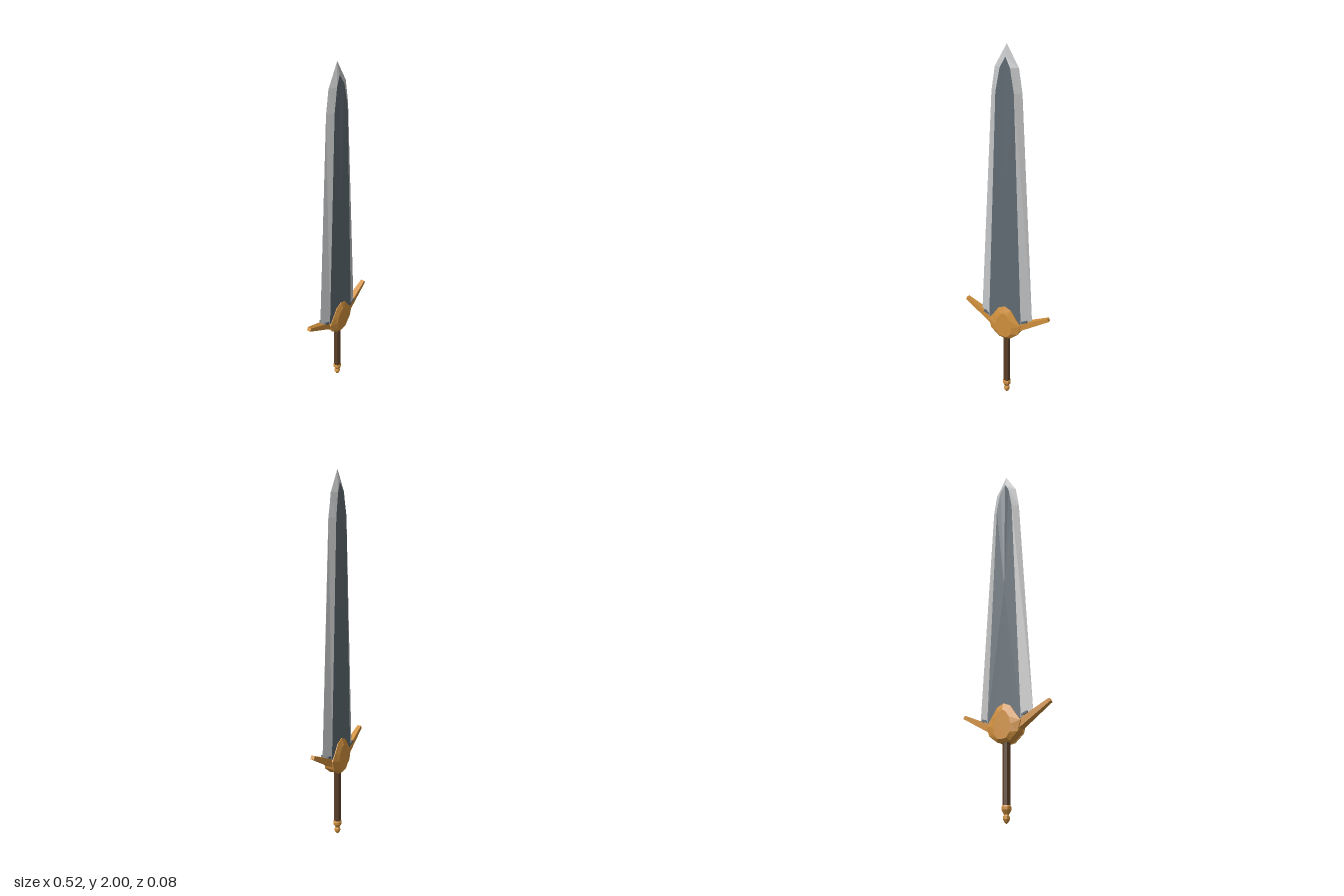
import * as THREE from 'three';

const mat = (name, color) => {
  const m = new THREE.MeshStandardMaterial({ color });
  m.name = name;
  return m;
};

// Right half of an outline (bottom to top, [x, y, z]) mirrored into a closed counter-clockwise loop
function mirrorLoop(half) {
  const left = half.filter(p => p[0] > 0).map(([x, y, z]) => [-x, y, z]).reverse();
  return [...half, ...left];
}
const atZ = (loop, k) => loop.map(([x, y, z]) => [x, y, z * k]);
const setZ = (loop, z) => loop.map(([x, y]) => [x, y, z]);

function faceted(tris) {
  const g = new THREE.BufferGeometry();
  g.setAttribute('position', new THREE.Float32BufferAttribute(tris.flat(2), 3));
  g.computeVertexNormals();
  return g;
}

// Walls between successive loops, ordered from back to front
function walls(loops) {
  const tris = [];
  for (let r = 0; r + 1 < loops.length; r++) {
    const a = loops[r], b = loops[r + 1], n = a.length;
    for (let i = 0; i < n; i++) {
      const j = (i + 1) % n;
      tris.push([a[i], a[j], b[j]], [a[i], b[j], b[i]]);
    }
  }
  return tris;
}

// Fan over a loop from its middle
function cap(loop, back = false) {
  const n = loop.length;
  const c = [0, 1, 2].map(k => loop.reduce((s, p) => s + p[k], 0) / n);
  return loop.map((p, i) => {
    const q = loop[(i + 1) % n];
    return back ? [c, q, p] : [c, p, q];
  });
}

const solid = loops => faceted([...walls(loops), ...cap(loops[0], true), ...cap(loops[loops.length - 1])]);

export function createModel() {
  const group = new THREE.Group();
  group.name = 'sword';
  const steel = mat('steel', 0xc4c5c6);
  const darkSteel = mat('dark steel', 0x606b73);
  const gold = mat('gold', 0xd0903e);
  const leather = mat('brown leather', 0x5c4028);
  for (const m of [steel, darkSteel, gold, leather]) m.flatShading = true;

  const add = (name, geometry, material) => {
    const mesh = new THREE.Mesh(geometry, material);
    mesh.name = name;
    group.add(mesh);
    return mesh;
  };

  // Blade: bevelled cutting edges around a flat dark centre
  const edge = mirrorLoop([[0.07, 0.48, 0], [0.158, 0.525, 0], [0.086, 1.77, 0], [0.066, 1.89, 0], [0, 2, 0]]);
  const inner = mirrorLoop([[0.06, 0.48, 0.024], [0.1, 0.5, 0.024], [0.051, 1.77, 0.023], [0.028, 1.89, 0.02], [0, 1.94, 0.014]]);
  const back = atZ(inner, -1);
  add('bladeEdges', faceted(walls([back, edge, inner])), steel);
  add('bladeCentre', faceted([...cap(back, true), ...cap(inner)]), darkSteel);

  // Guard plates, front and back, with a raised middle
  const rim = mirrorLoop([[0, 0.385], [0.035, 0.39], [0.085, 0.43], [0.1, 0.485], [0.07, 0.525], [0.04, 0.57], [0, 0.588]]);
  const crown = mirrorLoop([[0, 0.4], [0.025, 0.404], [0.046, 0.43], [0.05, 0.47], [0.04, 0.51], [0.02, 0.54], [0, 0.553]]);
  const plate = [setZ(rim, 0.022), setZ(rim, 0.028), setZ(crown, 0.041)];
  add('guardPlateFront', solid(plate), gold);
  add('guardPlateBack', solid(plate.map(l => atZ(l, -1)).reverse()), gold);

  // Core joining the plates below the blade
  const core = mirrorLoop([[0, 0.387], [0.034, 0.392], [0.083, 0.432], [0.096, 0.475], [0, 0.475]]);
  add('guardCore', solid([setZ(core, -0.024), setZ(core, 0.024)]), gold);

  for (const s of [1, -1]) {
    const side = s > 0 ? 'left' : 'right';
    // Tapered arm, swept up and out
    const arm = [[0.06, 0.432, 0.022], [0.262, 0.556, 0.011], [0.253, 0.573, 0.011], [0.06, 0.482, 0.022]]
      .map(([x, y, z]) => [s * x, y, z]);
    if (s < 0) arm.reverse();
    add(side + 'GuardArm', solid([atZ(arm, -1), arm]), gold);
    // Small collar where the blade meets the arm
    const collar = add(side + 'BladeCollar', new THREE.BoxGeometry(0.07, 0.012, 0.046), darkSteel);
    collar.position.set(s * 0.102, 0.511, 0);
    collar.rotation.z = s * 0.32;
  }

  // Grip
  const grip = add('grip', new THREE.CylinderGeometry(0.02, 0.02, 0.31, 8), leather);
  grip.position.y = 0.24;

  // Turned pommel
  const profile = [[0, 0.005], [0.01, 0.008], [0.017, 0.022], [0.016, 0.035], [0.011, 0.042],
    [0.018, 0.054], [0.024, 0.064], [0.024, 0.078], [0.019, 0.088], [0, 0.09]];
  profile[0][1] = 0;
  add('pommel', new THREE.LatheGeometry(profile.map(([x, y]) => new THREE.Vector2(x, y)), 8), gold);

  return group;
}
